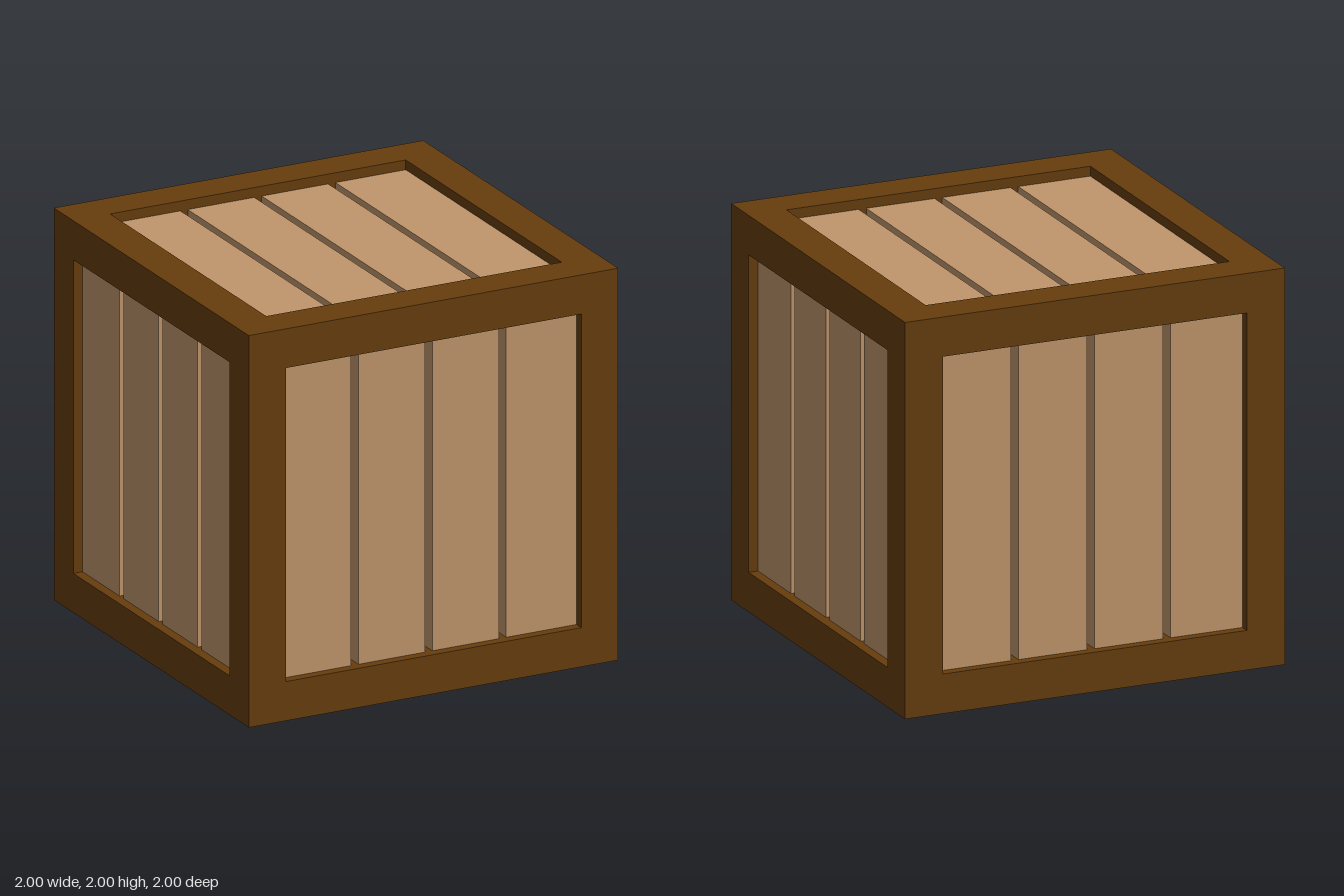
import * as THREE from 'three';

const mat = (color) => new THREE.MeshStandardMaterial({ color });

export function createModel() {
  const crate = new THREE.Group();
  crate.name = 'crate';
  const frameMat = mat(0x663d0d), plankMat = mat(0xc0966c), coreMat = mat(0x7b4f3a);

  const box = (parent, name, material, w, h, d, x, y, z) => {
    const mesh = new THREE.Mesh(new THREE.BoxGeometry(w, h, d), material);
    mesh.name = name;
    mesh.position.set(x, y, z);
    parent.add(mesh);
  };

  // Frame: four posts, with beams fitted between them at top and bottom
  const frame = new THREE.Group();
  frame.name = 'frame';
  for (const a of [-0.9, 0.9]) {
    for (const b of [-0.9, 0.9]) {
      box(frame, 'cornerPost', frameMat, 0.2, 2, 0.2, a, 1, b);
      box(frame, 'crossBeam', frameMat, 1.6, 0.2, 0.2, 0, 1 + a, b);
      box(frame, 'sideBeam', frameMat, 0.2, 0.2, 1.6, b, 1 + a, 0);
    }
  }
  crate.add(frame);

  // Dark core seen through the gaps between planks
  box(crate, 'core', coreMat, 1.7, 1.7, 1.7, 0, 1, 0);

  // Six recessed panels of four planks, separated by narrow gaps
  const gap = 0.04, edges = [-0.8, -0.4, 0, 0.4, 0.8];
  const panels = {
    frontPanel: [0, 0], backPanel: [0, Math.PI],
    leftPanel: [0, Math.PI / 2], rightPanel: [0, -Math.PI / 2],
    topPanel: [-Math.PI / 2, 0], bottomPanel: [Math.PI / 2, 0],
  };
  for (const [name, [rx, ry]] of Object.entries(panels)) {
    const panel = new THREE.Group();
    panel.name = name;
    for (let i = 0; i < 4; i++) {
      const x0 = edges[i] + (i > 0 ? gap / 2 : 0);
      const x1 = edges[i + 1] - (i < 3 ? gap / 2 : 0);
      box(panel, 'plank', plankMat, x1 - x0, 1.6, 0.1, (x0 + x1) / 2, 0, 0.9);
    }
    panel.rotation.set(rx, ry, 0);
    panel.position.y = 1;
    crate.add(panel);
  }
  return crate;
}
